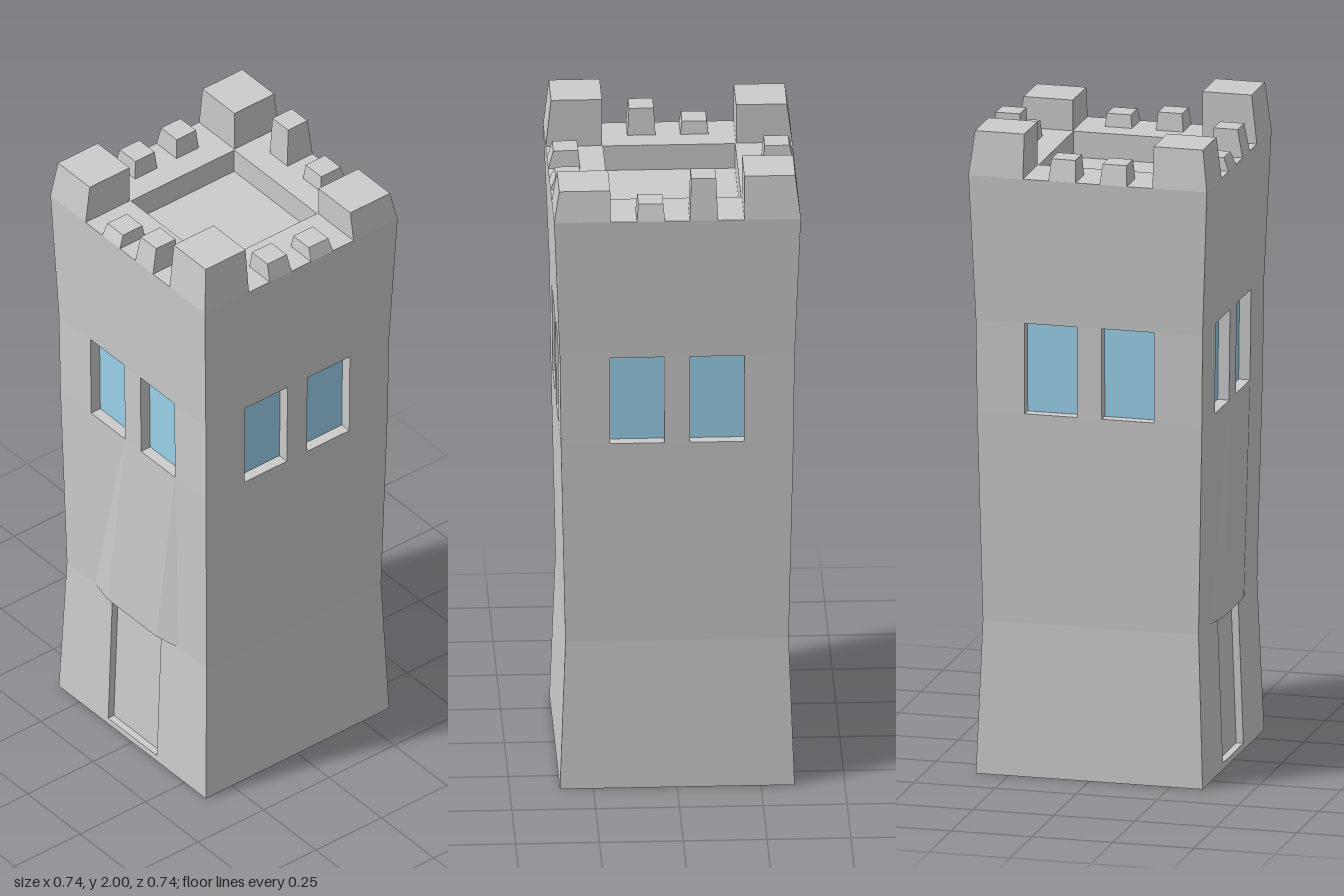
import * as THREE from 'three';

const V = (x, y, z) => new THREE.Vector3(x, y, z);
const TOP = 1.85, PIT = 0.197, RIM = 0.368, INSET = 0.035;

// Tower profile: [height, half width]
const PROFILE = [[0, 0.35], [0.47, 0.333], [1.12, 0.347], [1.4, 0.35], [TOP, RIM]];

function half(y) {
  for (let i = 1; i < PROFILE.length; i++) {
    const [y0, h0] = PROFILE[i - 1], [y1, h1] = PROFILE[i];
    if (y <= y1) return h0 + (h1 - h0) * (y - y0) / (y1 - y0);
  }
  return RIM;
}

// Flat-shaded mesh from quads, corners counter-clockwise from the front
function quadMesh(name, quads, material) {
  const points = quads.flatMap(([a, b, c, d]) => [a, b, c, a, c, d]);
  const geometry = new THREE.BufferGeometry().setFromPoints(points);
  geometry.computeVertexNormals();
  const mesh = new THREE.Mesh(geometry, material);
  mesh.name = name;
  return mesh;
}

// Rectangle lying on the sloping wall, pushed in by depth
function wallRect(x0, x1, y0, y1, depth = 0) {
  const p = (x, y) => V(x === 'L' ? -half(y) : x === 'R' ? half(y) : x, y, half(y) - depth);
  return [p(x0, y0), p(x1, y0), p(x1, y1), p(x0, y1)];
}

// Four sides of a recess
function reveal(x0, x1, y0, y1, depth) {
  const o = wallRect(x0, x1, y0, y1), n = wallRect(x0, x1, y0, y1, depth);
  return o.map((p, i) => {
    const j = (i + 1) % 4;
    return [p, o[j], n[j], n[i]];
  });
}

// Battlement block whose top is drawn in by the rule given
function block(name, x0, x1, z0, z1, top, taper, material) {
  const geometry = new THREE.BoxGeometry(x1 - x0, top - TOP, z1 - z0).toNonIndexed();
  geometry.translate((x0 + x1) / 2, (top + TOP) / 2, (z0 + z1) / 2);
  const pos = geometry.attributes.position;
  for (let i = 0; i < pos.count; i++) {
    if (pos.getY(i) < (top + TOP) / 2) continue;
    const [x, z] = taper(pos.getX(i), pos.getZ(i));
    pos.setX(i, x);
    pos.setZ(i, z);
  }
  geometry.computeVertexNormals();
  const mesh = new THREE.Mesh(geometry, material);
  mesh.name = name;
  return mesh;
}

export function createModel() {
  const tower = new THREE.Group();
  tower.name = 'tower';
  const stone = new THREE.MeshStandardMaterial({ color: 0xcccccc, flatShading: true });
  const glass = new THREE.MeshStandardMaterial({ color: 0x9bd3ec, flatShading: true });

  const windows = [[-0.2, -0.038], [0.038, 0.2]];
  const door = [-0.116, 0.116, 0.02, 0.47];
  const sideNames = ['front', 'right', 'back', 'left'];
  const cornerHeights = [2, 1.945, 1.985, 1.975];
  const merlonHeights = [[1.89, 1.935], [1.905, 1.89], [1.9, 1.98], [1.915, 1.91]];

  sideNames.forEach((sideName, k) => {
    const side = new THREE.Group();
    side.name = sideName + 'Side';
    side.rotation.y = k * Math.PI / 2;
    const isFront = k === 0;

    // Wall bands, leaving the openings free
    const wall = [
      wallRect('L', 'R', 0, 0.02),
      wallRect('L', 'R', 0.47, 1.12),
      wallRect('L', -0.2, 1.12, 1.4),
      wallRect(-0.038, 0.038, 1.12, 1.4),
      wallRect(0.2, 'R', 1.12, 1.4),
      wallRect('L', 'R', 1.4, TOP),
    ];
    if (isFront) {
      wall.push(wallRect('L', door[0], 0.02, 0.47), wallRect(door[1], 'R', 0.02, 0.47));
      wall.push(...reveal(...door, 0.022));
    } else {
      wall.push(wallRect('L', 'R', 0.02, 0.47));
    }
    windows.forEach(([a, b]) => wall.push(...reveal(a, b, 1.12, 1.4, INSET)));

    // Parapet walk and inner parapet wall
    wall.push([V(-RIM, TOP, RIM), V(RIM, TOP, RIM), V(PIT, TOP, PIT), V(-PIT, TOP, PIT)]);
    wall.push([V(PIT, TOP - 0.08, PIT), V(-PIT, TOP - 0.08, PIT), V(-PIT, TOP, PIT), V(PIT, TOP, PIT)]);
    side.add(quadMesh('wall', wall, stone));

    // Window panes
    side.add(quadMesh('windowPanes', windows.map(([a, b]) => wallRect(a, b, 1.12, 1.4, INSET)), glass));

    if (isFront) {
      side.add(quadMesh('door', [wallRect(...door, 0.022)], stone));

      // Shallow swelling of the wall over the door
      const low = [[-0.2, 0.333], [-0.116, 0.351], [0.116, 0.351], [0.2, 0.333]].map(([x, z]) => V(x, 0.47, z));
      const high = [-0.2, -0.038, 0.038, 0.2].map((x) => V(x, 1.12, half(1.12) + 0.0005));
      const lintel = [0, 1, 2].map((i) => [low[i], low[i + 1], high[i + 1], high[i]]);
      lintel.push([low[3], low[2], low[1], low[0]]);
      side.add(quadMesh('doorLintel', lintel, stone));
    }

    // Corner block
    const drawIn = (v) => (v > 0.3 ? 0.352 : v);
    side.add(block('cornerBlock', 0.2, RIM, 0.2, RIM, cornerHeights[k],
      (x, z) => [drawIn(x), drawIn(z)], stone));

    // Two merlons of uneven height
    [-0.079, 0.079].forEach((cx, i) => {
      side.add(block('merlon', cx - 0.042, cx + 0.042, 0.272, RIM, merlonHeights[k][i],
        (x, z) => [cx + Math.sign(x - cx) * 0.037, z > 0.3 ? 0.352 : 0.278], stone));
    });
    tower.add(side);
  });

  // Roof floor and underside
  const flat = (h, y) => [V(-h, y, h), V(h, y, h), V(h, y, -h), V(-h, y, -h)];
  tower.add(quadMesh('roofFloor', [flat(PIT, TOP - 0.08)], stone));
  tower.add(quadMesh('underside', [flat(0.35, 0).reverse()], stone));
  return tower;
}
